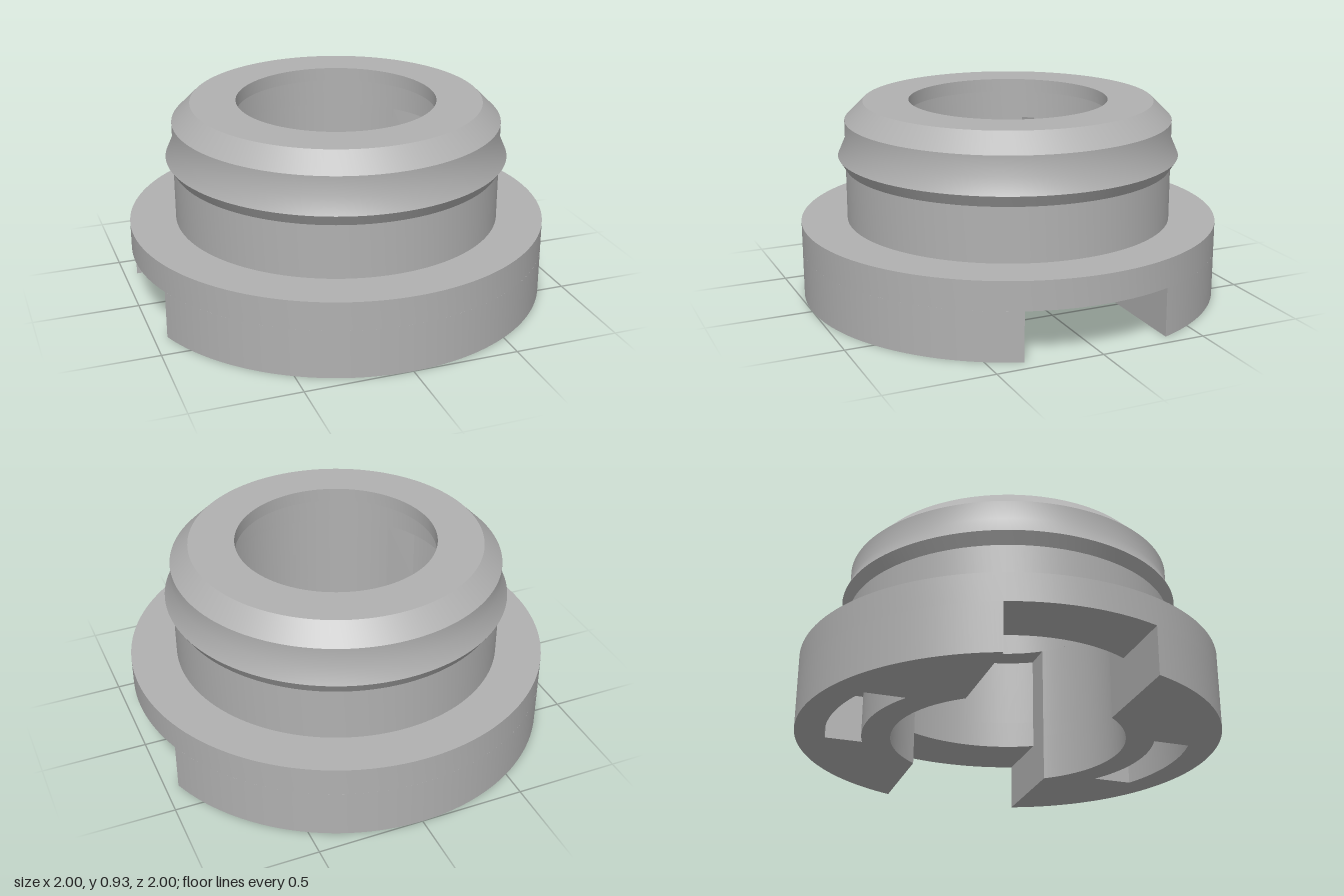
import * as THREE from 'three';
import { toCreasedNormals } from 'three/addons/utils/BufferGeometryUtils.js';

const BORE = 0.555, KEY = 0.68, HALF = 0.345; // bore radius, keyway radius, half slot width
const FOOT_TOP = 0.23, FLANGE_TOP = 0.365, KEY_TOP = 0.715;
const a = Math.asin(HALF / BORE), b = Math.asin(HALF / KEY), c = Math.asin(HALF);

// Round bore with a wide keyway on each side
function keyedBore() {
  const p = new THREE.Path();
  for (const t of [0, Math.PI]) {
    p.absarc(0, 0, KEY, t - b, t + b, false);
    p.absarc(0, 0, BORE, t + a, t + Math.PI - a, false);
  }
  p.closePath();
  return p;
}

function ring(radius) {
  const s = new THREE.Shape();
  s.absarc(0, 0, radius, 0, Math.PI * 2, false);
  s.holes.push(keyedBore());
  return s;
}

// Half ring with a curved pocket, offset to one side
function footShape() {
  const s = new THREE.Shape();
  s.absarc(0, 0, 1, c, Math.PI - c, false);
  s.absarc(0, 0, BORE, Math.PI - a, a, true);
  s.closePath();
  const right = 0.23, left = 0.355, outer = 0.86, inner = 0.69;
  const h = new THREE.Path();
  h.absarc(0, 0, outer, Math.acos(right / outer), Math.PI - Math.acos(left / outer), false);
  h.absarc(0, 0, inner, Math.PI - Math.acos(left / inner), Math.acos(right / inner), true);
  h.closePath();
  s.holes.push(h);
  return s;
}

// Upright extrusion from y0 to y1
function slab(shape, y0, y1) {
  const g = new THREE.ExtrudeGeometry(shape, { depth: y1 - y0, bevelEnabled: false, curveSegments: 64 });
  g.rotateX(-Math.PI / 2);
  g.translate(0, y0, 0);
  return toCreasedNormals(g, 0.45);
}

export function createModel() {
  const group = new THREE.Group();
  const grey = new THREE.MeshStandardMaterial({ color: 0xb0b0b0 });
  grey.name = 'grey';

  const add = (name, geometry) => {
    const mesh = new THREE.Mesh(geometry, grey);
    mesh.name = name;
    group.add(mesh);
    return mesh;
  };

  // Two feet, leaving a slot across the base along x
  const foot = slab(footShape(), 0, FOOT_TOP);
  add('backFoot', foot);
  add('frontFoot', foot).rotation.y = Math.PI;

  // Flange and the keyed lining of the neck
  add('flange', slab(ring(1), FOOT_TOP, FLANGE_TOP));
  add('neckLining', slab(ring(0.74), FLANGE_TOP, KEY_TOP));

  // Neck: snap ridge, chamfered rim, top lip, upper bore and keyway ceiling
  const profile = [
    [0.78, FLANGE_TOP], [0.78, 0.62], [0.815, 0.675], [0.78, 0.755], [0.78, 0.845],
    [0.692, 0.932], [0.475, 0.932], [0.475, 0.867], [BORE, 0.867], [BORE, KEY_TOP], [0.72, KEY_TOP],
  ].map(([r, y]) => new THREE.Vector2(r, y));
  add('neck', toCreasedNormals(new THREE.LatheGeometry(profile, 128), 0.45));

  return group;
}
